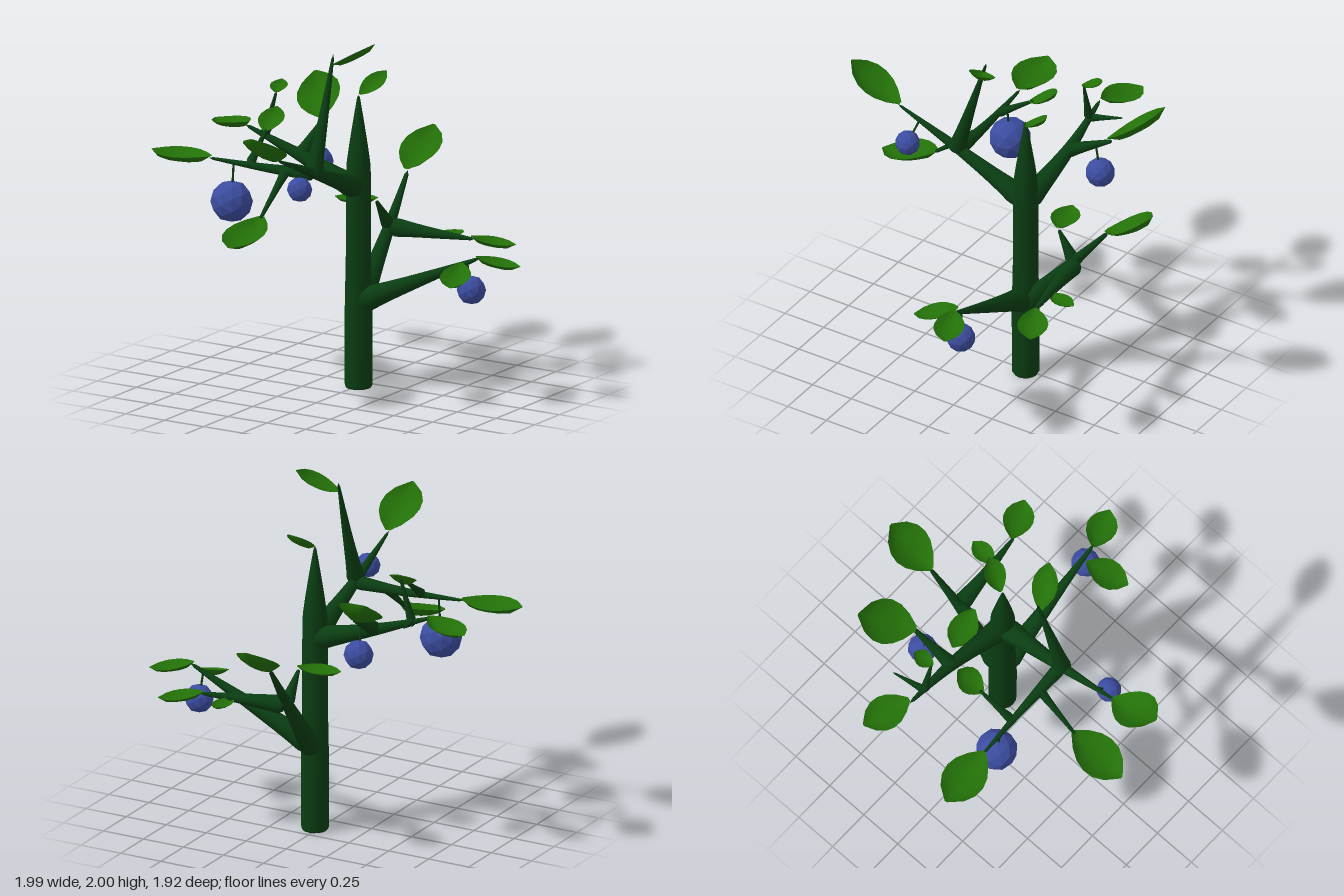
import * as THREE from 'three';

const bark = new THREE.MeshStandardMaterial({ color: 0x0a3d12 });
const foliage = new THREE.MeshStandardMaterial({ color: 0x237008, side: THREE.DoubleSide });
const berry = new THREE.MeshStandardMaterial({ color: 0x3c4ca0, flatShading: true });
const V = (p) => new THREE.Vector3(...p);

// Tapered limb along a path, with a rounded foot that flares inside its parent and a closed tip
function limb(name, points, r0, r1, flare = 0) {
  const path = new THREE.CatmullRomCurve3(points.map(V));
  const rings = 28, sides = 12, foot = r0 / path.getLength();
  const geo = new THREE.TubeGeometry(path, rings, 1, sides);
  const pos = geo.attributes.position, v = new THREE.Vector3();
  for (let i = 0; i <= rings; i++) {
    const t = i / rings, c = path.getPointAt(t);
    const dome = Math.sqrt(1 - Math.max(0, 1 - t / foot) ** 2);
    const r = i === rings ? 0 : dome * (THREE.MathUtils.lerp(r0, r1, t) + flare * (1 - t) ** 7);
    for (let j = 0; j <= sides; j++) {
      const k = i * (sides + 1) + j;
      v.fromBufferAttribute(pos, k).sub(c).multiplyScalar(r).add(c);
      pos.setXYZ(k, v.x, v.y, v.z);
    }
  }
  const mesh = new THREE.Mesh(geo, bark);
  mesh.name = name;
  return mesh;
}

// Bowl-shaped leaf from its base to its tip, open towards the sky; across sets its roll
function leaf(base, tip, width, across) {
  const a = V(base), dir = V(tip).sub(a), length = dir.length();
  dir.normalize();
  const side = across ? V(across) : new THREE.Vector3(0, 1, 0).cross(dir);
  side.addScaledVector(dir, -side.dot(dir)).normalize();
  const up = dir.clone().cross(side);
  const profile = [0.12, 0.58, 0.88, 1, 0.94, 0.66, 0.06];
  const rows = profile.length - 1;
  const geo = new THREE.PlaneGeometry(2, 1, 6, rows);
  const pos = geo.attributes.position;
  for (let i = 0; i < pos.count; i++) {
    const s = pos.getX(i), t = pos.getY(i) + 0.5;
    const w = profile[Math.round(t * rows)];
    const lift = width * (0.05 - 0.2 * (1 - s * s) * (1 - (2 * t - 1) ** 4));
    const p = a.clone().addScaledVector(dir, t * length)
      .addScaledVector(side, -s * w * width / 2).addScaledVector(up, lift);
    pos.setXYZ(i, p.x, p.y, p.z);
  }
  geo.computeVertexNormals();
  const mesh = new THREE.Mesh(geo, foliage);
  mesh.name = 'leaf';
  return mesh;
}

// Round fruit hanging on a thin stalk
function fruit(center, radius, hook) {
  const group = new THREE.Group();
  group.name = 'fruit';
  const ball = new THREE.Mesh(new THREE.IcosahedronGeometry(radius, 1), berry);
  ball.position.set(...center);
  ball.name = 'fruitBall';
  group.add(ball, limb('fruitStalk', [center, hook], 0.006, 0.006));
  return group;
}

export function createModel() {
  const tree = new THREE.Group();
  tree.name = 'fruitTree';

  // Trunk, straight then tapering to a point
  const outline = [[0, 0], [0.068, 0], [0.076, 0.015], [0.077, 0.4], [0.07, 0.75], [0.07, 1.1],
    [0.067, 1.25], [0.052, 1.36], [0.03, 1.5], [0.008, 1.63], [0, 1.645]];
  const trunk = new THREE.Mesh(
    new THREE.LatheGeometry(outline.map(([r, y]) => new THREE.Vector2(r, y)), 16), bark);
  trunk.position.set(0.015, 0, -0.155);
  trunk.name = 'trunk';
  tree.add(trunk);

  // Branches and twigs: name, path, foot radius, tip radius, flare
  const limbs = [
    ['frontBranch', [[0.015, 1.13, -0.14], [0.01, 1.3, 0.28], [0.02, 1.46, 0.67]], 0.056, 0.006, 0.02],
    ['frontUpperBranch', [[0.01, 1.28, 0.3], [0.015, 1.6, 0.2], [0.015, 1.93, 0.1]], 0.046, 0.006, 0.01],
    ['frontSideBranch', [[0.01, 1.295, 0.28], [-0.3, 1.29, 0.29], [-0.65, 1.3, 0.31]], 0.038, 0.007, 0.005],
    ['frontTwig', [[-0.17, 1.3, 0.28], [-0.17, 1.08, 0.55]], 0.025, 0.009, 0.008],
    ['frontTwig', [[-0.4, 1.3, 0.29], [-0.43, 1.44, 0.08]], 0.025, 0.008, 0.006],
    ['rightBranch', [[0.015, 1.11, -0.155], [-0.38, 1.245, -0.18], [-0.72, 1.37, -0.165]], 0.064, 0.008, 0.01],
    ['rightTwig', [[-0.37, 1.24, -0.17], [-0.395, 1.39, -0.45]], 0.042, 0.01, 0.01],
    ['rightTwig', [[-0.6, 1.325, -0.17], [-0.53, 1.58, -0.18]], 0.024, 0.006, 0.006],
    ['rightTwig', [[-0.6, 1.325, -0.17], [-0.65, 1.36, -0.355]], 0.022, 0.004, 0.006],
    ['backBranch', [[0.015, 0.47, -0.18], [0.015, 0.84, -0.47], [0, 1.1, -0.68]], 0.06, 0.01, 0.015],
    ['backSideBranch', [[0.015, 0.83, -0.48], [0.25, 0.825, -0.5], [0.52, 0.82, -0.53]], 0.052, 0.008, 0.008],
    ['backTwig', [[0.015, 0.83, -0.47], [0, 1.0, -0.36]], 0.042, 0.008, 0.006],
    ['leftBranch', [[0.025, 0.485, -0.155], [0.4, 0.655, -0.17], [0.78, 0.83, -0.18]], 0.064, 0.008, 0.015],
  ];
  for (const l of limbs) tree.add(limb(...l));

  // Leaves: base, tip, width, optional direction across the blade
  const leaves = [
    [[0.015, 1.64, -0.17], [0.09, 1.75, -0.325], 0.13, [-1, 0, 0]],
    [[0.02, 1.46, 0.66], [0.035, 1.64, 0.965], 0.24],
    [[0.02, 1.87, 0.12], [0.225, 1.99, 0.0], 0.15, [0, 0, -1]],
    [[-0.64, 1.3, 0.31], [-0.995, 1.3, 0.35], 0.24],
    [[-0.17, 1.08, 0.53], [-0.16, 0.98, 0.88], 0.24],
    [[-0.425, 1.43, 0.1], [-0.45, 1.53, -0.065], 0.15],
    [[-0.71, 1.375, -0.18], [-0.98, 1.34, -0.27], 0.2],
    [[-0.39, 1.39, -0.43], [-0.59, 1.57, -0.675], 0.25, [-1, 0, 0]],
    [[-0.53, 1.575, -0.17], [-0.56, 1.62, -0.285], 0.1],
    [[0, 1.1, -0.67], [-0.01, 1.285, -0.965], 0.24],
    [[0.5, 0.825, -0.53], [0.72, 0.785, -0.64], 0.17],
    [[0.33, 0.82, -0.51], [0.35, 0.81, -0.68], 0.11],
    [[0.01, 1.01, -0.36], [-0.23, 1.0, -0.3], 0.16],
    [[0.76, 0.83, -0.17], [0.99, 0.785, -0.26], 0.17],
    [[0.68, 0.79, -0.15], [0.76, 0.71, 0.085], 0.17],
  ];
  for (const l of leaves) tree.add(leaf(...l));

  // Fruit: centre, radius, point where the stalk meets the branch
  const fruits = [
    [[-0.52, 1.07, 0.29], 0.116, [-0.5, 1.3, 0.3]],
    [[0.09, 1.285, 0.56], 0.069, [0.02, 1.4, 0.53]],
    [[-0.385, 1.165, -0.38], 0.082, [-0.385, 1.34, -0.35]],
    [[0.72, 0.64, -0.19], 0.08, [0.7, 0.79, -0.18]],
  ];
  for (const f of fruits) tree.add(fruit(...f));
  return tree;
}
